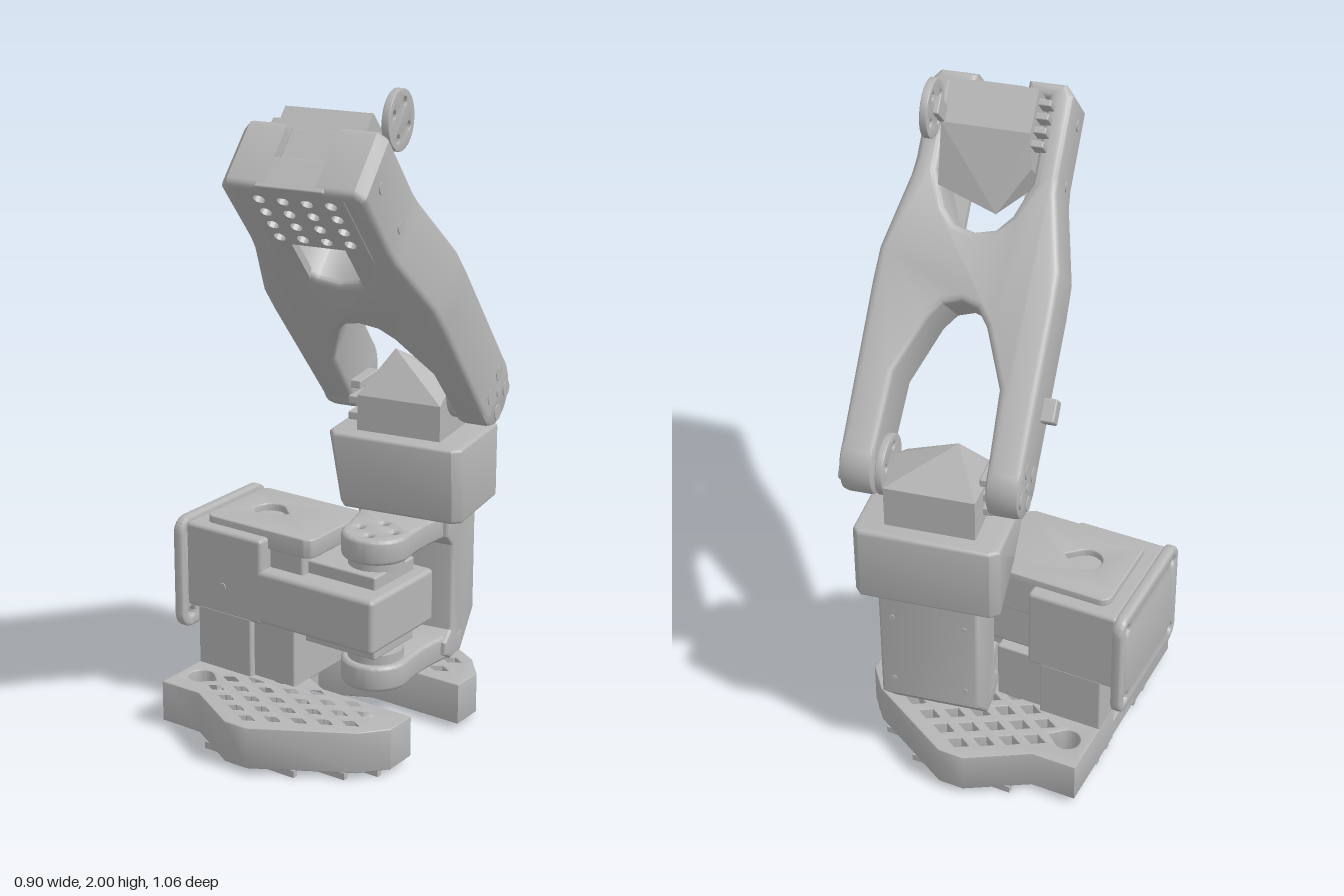
import * as THREE from 'three';
import { toCreasedNormals } from 'three/addons/utils/BufferGeometryUtils.js';
import { RoundedBoxGeometry } from 'three/addons/geometries/RoundedBoxGeometry.js';
import { ConvexGeometry } from 'three/addons/geometries/ConvexGeometry.js';

const grey = new THREE.MeshStandardMaterial({ color: 0xb5b5b5 });
grey.name = 'light grey plastic';

function add(parent, name, geometry, x = 0, y = 0, z = 0) {
  const mesh = new THREE.Mesh(geometry, grey);
  mesh.name = name;
  mesh.position.set(x, y, z);
  parent.add(mesh);
  return mesh;
}
// Box given by its limits, with softened edges
function block(parent, name, [x0, x1], [y0, y1], [z0, z1], r = 0.01) {
  return add(parent, name, new RoundedBoxGeometry(x1 - x0, y1 - y0, z1 - z0, 2, r),
    (x0 + x1) / 2, (y0 + y1) / 2, (z0 + z1) / 2);
}
function polygon(points, Type = THREE.Shape) {
  return new Type(points.map(([x, y]) => new THREE.Vector2(x, y)));
}
function circle(x, y, r) {
  return new THREE.Path().absarc(x, y, r, 0, Math.PI * 2);
}
function extrude(shape, depth, bevel) {
  const g = new THREE.ExtrudeGeometry(shape, {
    depth: depth - 2 * bevel, bevelEnabled: bevel > 0, bevelSize: bevel, bevelThickness: bevel,
    bevelOffset: -bevel, bevelSegments: 3, curveSegments: 20 });
  g.translate(0, 0, bevel);
  return toCreasedNormals(g, 0.6);
}
// Plan outline (x, -z) raised from y0 to y1
function slab(parent, name, shape, y0, y1, bevel = 0.01) {
  return add(parent, name, extrude(shape, y1 - y0, bevel).rotateX(-Math.PI / 2), 0, y0, 0);
}
function teardrop(x, y, r) {
  const p = new THREE.Path();
  p.absarc(x, y, r, Math.PI / 4, Math.PI * 1.75, false);
  p.lineTo(x + r * 1.5, y);
  p.closePath();
  return p;
}
function roundRect(x0, x1, y0, y1, r) {
  const s = new THREE.Shape();
  s.absarc(x1 - r, y1 - r, r, 0, Math.PI / 2);
  s.absarc(x0 + r, y1 - r, r, Math.PI / 2, Math.PI);
  s.absarc(x0 + r, y0 + r, r, Math.PI, Math.PI * 1.5);
  s.absarc(x1 - r, y0 + r, r, Math.PI * 1.5, Math.PI * 2);
  return s;
}
// Round servo horn with holes, facing along x
function horn(parent, name, r, x, y, z) {
  const s = new THREE.Shape().absarc(0, 0, r, 0, Math.PI * 2);
  for (let i = 0; i < 4; i++) {
    const a = i * Math.PI / 2 + 0.4;
    s.holes.push(circle(Math.cos(a) * r * 0.62, Math.sin(a) * r * 0.62, r * 0.14));
  }
  add(parent, name, extrude(s, 0.022, 0.002).rotateY(Math.PI / 2), x, y, z);
}
const vec = ([x, y, z]) => new THREE.Vector3(x, y, z);

// Two perforated feet, mirrored about z = -0.05
function buildBase(root) {
  const base = new THREE.Group();
  base.name = 'base';
  root.add(base);
  const outline = [[-0.38, 0.08], [-0.05, 0.08], [0.05, 0.13], [0.365, 0.13], [0.365, 0.235],
    [0.3, 0.313], [0.02, 0.475], [-0.06, 0.475], [-0.24, 0.37], [-0.38, 0.37]];
  for (const side of [1, -1]) {
    const toY = t => 0.05 - side * t;      // distance from the mid line to plan y
    const shape = polygon(outline.map(([x, t]) => [x, toY(t)]));
    for (let k = 0; k < 9; k++) for (let j = -2; j < 4; j++) {
      const x = -0.22 + k * 0.067, t = 0.31 + j * 0.074 + (k % 2) * 0.037;
      const limit = 0.475 - 0.58 * Math.max(0, x - 0.02, -0.06 - x);
      if (t > limit - 0.045 || t < 0.16 || x > 0.3) continue;
      shape.holes.push(polygon([[x - 0.036, toY(t)], [x, toY(t - 0.022)], [x + 0.036, toY(t)], [x, toY(t + 0.022)]], THREE.Path));
    }
    shape.holes.push(teardrop(-0.31, toY(0.27), 0.04));
    slab(base, 'foot', shape, 0.02, 0.15, 0.003);
    // Ridges under the foot, the middle one stopping short of the keyhole
    for (let i = 0; i < 5; i++) {
      const t = 0.107 + i * 0.074, slope = (0.475 - t) / 0.58;
      const x0 = i === 4 ? -0.06 - slope : i === 2 ? -0.24 : i === 3 ? -0.28 : -0.375;
      const x1 = i === 0 ? -0.1 : Math.min(0.34, 0.02 + slope);
      add(base, 'footRidge', new THREE.BoxGeometry(x1 - x0, 0.022, 0.018), (x0 + x1) / 2, 0.011, -0.05 + side * t);
    }
  }
  block(base, 'footBridge', [-0.38, -0.12], [0.025, 0.09], [-0.14, 0.04], 0.005);
  block(base, 'pedestal', [-0.38, -0.18], [0.145, 0.34], [-0.24, 0.14], 0.006);
  block(base, 'pedestalStep', [-0.19, -0.03], [0.145, 0.34], [-0.22, 0.12], 0.006);

  // Housing and its side plate
  block(base, 'housing', [-0.425, -0.14], [0.33, 0.602], [-0.24, 0.14], 0.012);
  block(base, 'housingNeck', [-0.16, -0.02], [0.48, 0.6], [-0.2, 0.09], 0.008);
  block(base, 'motorCradle', [-0.2, 0.265], [0.335, 0.505], [-0.19, 0.14], 0.015);
  const plate = roundRect(-0.165, 0.27, 0.25, 0.615, 0.05);
  for (const x of [-0.12, 0.225]) for (const y of [0.3, 0.565])
    plate.holes.push(circle(x, y, 0.014));
  add(base, 'sidePlate', extrude(plate, 0.035, 0.01).rotateY(Math.PI / 2), -0.457, 0, 0);
  const lid = roundRect(-0.38, 0.015, -0.1, 0.2, 0.03);
  lid.holes.push(teardrop(-0.245, 0.05, 0.048));
  slab(base, 'lid', lid, 0.565, 0.625, 0.004);
  add(base, 'housingScrew', new THREE.CylinderGeometry(0.014, 0.014, 0.01, 16).rotateX(Math.PI / 2), -0.285, 0.42, 0.138);

  // Turning motor between the bracket arms
  block(base, 'panMotor', [-0.07, 0.22], [0.28, 0.545], [-0.15, 0.06], 0.006);
  for (const y of [0.26, 0.555])
    add(base, 'panHorn', new THREE.CylinderGeometry(0.085, 0.085, 0.03, 32), 0.15, y, -0.05);
}

// C-shaped bracket turning on the base, and the collar above it
function buildTurret(turret) {
  for (const [y0, y1] of [[0.165, 0.245], [0.57, 0.648]]) {
    const s = new THREE.Shape();
    s.moveTo(-0.15, 0.31);
    s.lineTo(-0.15, 0.24);
    s.quadraticCurveTo(-0.105, 0.12, -0.105, 0);
    s.absarc(0, 0, 0.105, Math.PI, Math.PI * 2, false);
    s.quadraticCurveTo(0.105, 0.12, 0.15, 0.24);
    s.lineTo(0.15, 0.31);
    for (let i = 0; i < 4; i++) {
      const a = i * Math.PI / 2;
      s.holes.push(circle(Math.cos(a) * 0.055, Math.sin(a) * 0.055, 0.012));
    }
    slab(turret, 'bracketArm', s, y0, y1, 0.012);
  }
  // Column profile (-z, y), chamfered at its lower back
  const column = polygon([[0.19, 0.19], [0.23, 0.165], [0.31, 0.165], [0.408, 0.27], [0.408, 0.66], [0.19, 0.66], [0.19, 0.58], [0.23, 0.54], [0.23, 0.26], [0.19, 0.23]]);
  add(turret, 'column', extrude(column, 0.3, 0.008).rotateY(Math.PI / 2), -0.15, 0, 0);
  for (const x of [-0.11, 0.11]) for (const y of [0.33, 0.57])
    add(turret, 'columnScrew', new THREE.CylinderGeometry(0.009, 0.009, 0.01, 12).rotateX(Math.PI / 2), x, y, -0.406);

  // Collar, drawn in slightly at its lower front and left
  const plan = polygon([[-0.222, 0.14], [-0.195, 0.105], [0.19, 0.105], [0.215, 0.13], [0.215, 0.41], [0.195, 0.432], [-0.195, 0.432], [-0.222, 0.41]]);
  const collar = slab(turret, 'collar', plan, 0.65, 0.89, 0.012);
  const p = collar.geometry.attributes.position;
  for (let i = 0; i < p.count; i++) if (p.getY(i) < 0.05 && p.getZ(i) > -0.2) {
    if (p.getX(i) < -0.1) p.setX(i, p.getX(i) + 0.03);
    p.setZ(i, p.getZ(i) - 0.015);
  }
  collar.geometry = toCreasedNormals(collar.geometry, 0.6);

  // Tilt motor standing out of the collar
  add(turret, 'tiltMotor', new ConvexGeometry([
    [-0.14, 0.87, -0.16], [0.13, 0.87, -0.16], [-0.14, 0.87, -0.38], [0.13, 0.87, -0.38],
    [-0.14, 1, -0.16], [0.13, 1, -0.16], [-0.14, 1.02, -0.38], [0.13, 1.02, -0.38],
    [-0.06, 1.13, -0.26], [0.13, 1.05, -0.25]].map(vec)));
  horn(turret, 'tiltHorn', 0.09, 0.135, 1.03, -0.28);
  for (let i = 0; i < 3; i++) block(turret, 'tiltMotorPin', [-0.17, -0.13], [0.92 + i * 0.05, 0.945 + i * 0.05], [-0.3, -0.16], 0.004);
}

// Forked arm: x across, y along the arm, z towards its lower face
function buildArm(arm) {
  const half = [[0, 0.48], [0.05, 0.465], [0.085, 0.42], [0.155, 0.25], [0.165, 0], [0.265, 0],
    [0.268, 0.5], [0.265, 0.6], [0.215, 0.82], [0.21, 0.87], [0.21, 1.105], [0.185, 1.135], [0.075, 1.135], [0.075, 1.09],
    [0.14, 1.09], [0.14, 0.84], [0.1, 0.74], [0.06, 0.695], [0, 0.68]];
  const mirrored = half.slice(1, -1).reverse().map(([x, y]) => [-x, y]);
  add(arm, 'forkedArm', extrude(polygon([...half, ...mirrored]), 0.215, 0.02), 0, 0, -0.105);

  for (const side of [-1, 1]) {
    // Rounded fork ends with their screws
    const end = [[0, -0.05], [0.092, -0.05], [0.104, -0.044], [0.108, -0.03], [0.108, 0.03], [0.104, 0.044], [0.092, 0.05], [0, 0.05]]
      .map(([r, h]) => new THREE.Vector2(r, h));
    add(arm, 'forkEnd', toCreasedNormals(new THREE.LatheGeometry(end, 40), 0.6).rotateZ(-Math.PI / 2), side * 0.215, 0.015, 0.003);
    for (let i = 0; i < 5; i++) {
      const a = i * Math.PI / 2 + 0.76, r = i < 4 ? 0.06 : 0, size = i < 4 ? 0.024 : 0.014;
      add(arm, 'forkScrew', new THREE.CylinderGeometry(size, size, 0.008, 20).rotateZ(Math.PI / 2),
        side * 0.264, Math.cos(a) * r, Math.sin(a) * r);
    }
    for (const y of [1.05, 0.87])
      add(arm, 'sideScrew', new THREE.CylinderGeometry(0.017, 0.017, 0.008, 16).rotateZ(Math.PI / 2), side * 0.21, y, 0.02);
  }
  block(arm, 'cableClip', [-0.305, -0.25], [0.19, 0.26], [0, 0.06], 0.006);

  // Perforated floor with a narrow notch, and the low middle of the end wall
  const floor = polygon([[-0.15, 0.72], [-0.08, 0.7], [-0.08, 0.87], [0.08, 0.87], [0.08, 0.7], [0.15, 0.72], [0.15, 1.11], [-0.15, 1.11]]);
  for (let i = 0; i < 4; i++) for (let j = 0; j < 4; j++)
    floor.holes.push(circle(-0.105 + i * 0.07, 0.9 + j * 0.058, 0.017));
  add(arm, 'perforatedFloor', extrude(floor, 0.025, 0), 0, 0, 0.084);
  block(arm, 'endWall', [-0.1, 0.1], [1.085, 1.134], [0.01, 0.109], 0.004);

  // Wrist motor with its horn
  add(arm, 'wristMotor', new ConvexGeometry([
    [-0.13, 0.88, 0.06], [0.13, 0.88, 0.06], [-0.13, 1.09, 0.06], [0.13, 1.09, 0.06],
    [-0.13, 1.09, -0.185], [0.13, 1.09, -0.185], [-0.13, 0.96, -0.19], [0.13, 0.96, -0.19],
    [-0.05, 0.74, -0.09], [0.13, 0.8, -0.1], [-0.13, 0.88, -0.1]].map(vec)));
  block(arm, 'wristMotorNose', [-0.07, 0.07], [1.06, 1.115], [-0.1, 0.05], 0.004);
  horn(arm, 'wristHorn', 0.085, 0.135, 0.98, -0.25);
  block(arm, 'wristHornHub', [0.12, 0.14], [0.96, 1.01], [-0.27, -0.15], 0.004);
  for (let i = 0; i < 4; i++)
    block(arm, 'wristMotorPin', [-0.165, -0.12], [0.93 + i * 0.04, 0.95 + i * 0.04], [-0.16, -0.09], 0.004);
}

export function createModel() {
  const root = new THREE.Group();
  root.name = 'roboticArm';
  buildBase(root);
  const turret = new THREE.Group();
  turret.name = 'turret';
  turret.position.set(0.15, 0, -0.05);
  turret.rotation.y = 0.17;
  root.add(turret);
  buildTurret(turret);
  const arm = new THREE.Group();
  arm.name = 'arm';
  arm.position.set(0, 1.03, -0.28);
  arm.rotation.x = 0.748;
  turret.add(arm);
  buildArm(arm);
  return root;
}
